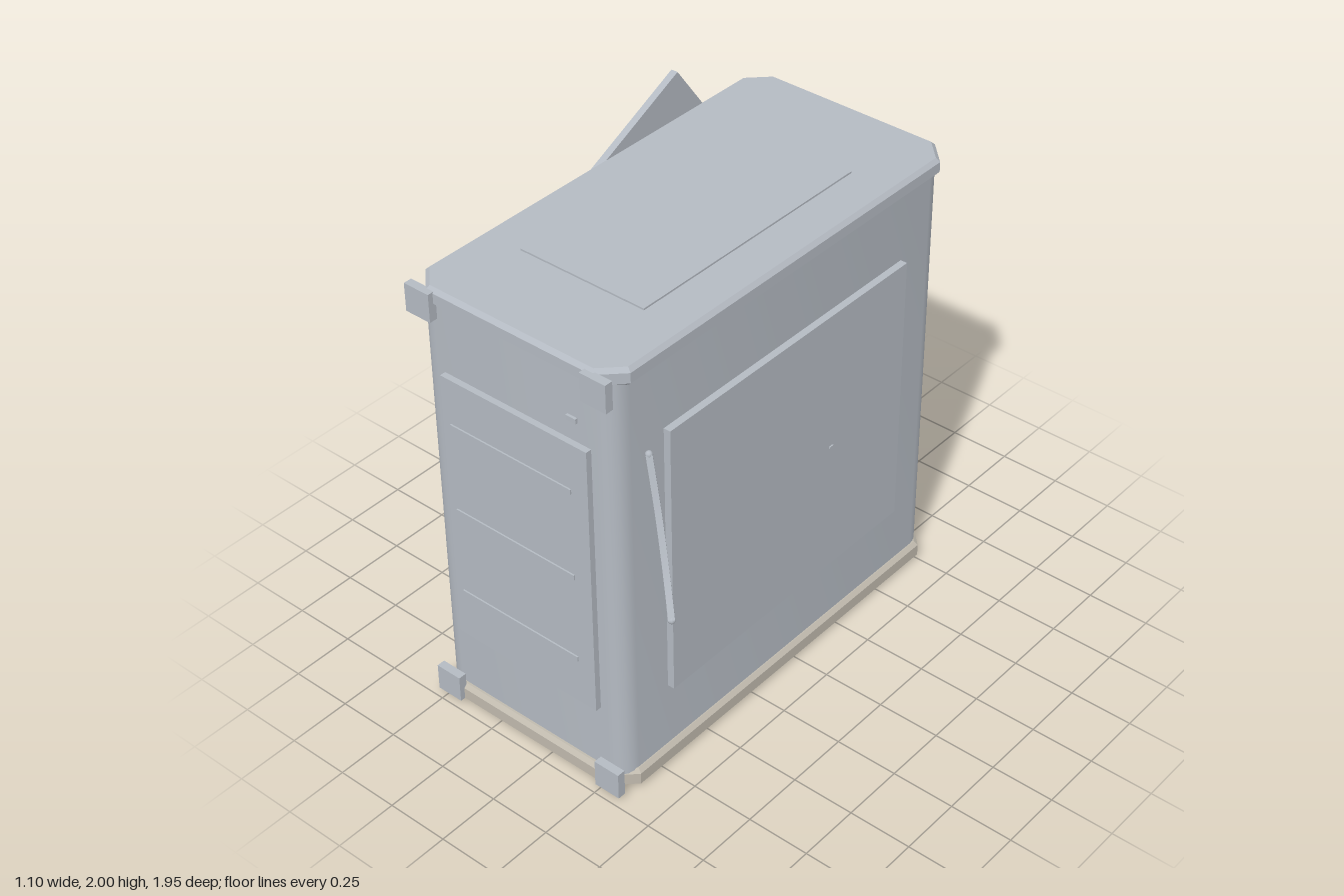
import * as THREE from 'three';
import { toCreasedNormals } from 'three/addons/utils/BufferGeometryUtils.js';

export function createModel() {
  const model = new THREE.Group();
  const grey = new THREE.MeshStandardMaterial({ color: 0xb4bac2 });
  grey.name = 'paintedMetal';
  const tan = new THREE.MeshStandardMaterial({ color: 0xc0baae });
  tan.name = 'beigePlastic';

  function add(name, geometry, material = grey) {
    const mesh = new THREE.Mesh(geometry, material);
    mesh.name = name;
    model.add(mesh);
    return mesh;
  }

  // Box given by its lower and upper limits on each axis
  function box(name, x0, x1, y0, y1, z0, z1, material) {
    add(name, new THREE.BoxGeometry(x1 - x0, y1 - y0, z1 - z0), material)
      .position.set((x0 + x1) / 2, (y0 + y1) / 2, (z0 + z1) / 2);
  }

  // Plan outline with cut or rounded corners; shape y becomes -z
  function outline(x0, x1, z0, z1, c, rounded) {
    const s = new THREE.Shape();
    const corners = [[x1, -z1, 1, 1, -90], [x1, -z0, 1, -1, 0],
      [x0, -z0, -1, -1, 90], [x0, -z1, -1, 1, 180]];
    const points = [];
    for (const [x, y, sx, sy, start] of corners) {
      const steps = rounded ? 5 : 1;
      for (let i = 0; i <= steps; i++) {
        const a = THREE.MathUtils.degToRad(start + 90 * i / steps);
        points.push(new THREE.Vector2(x - sx * c + c * Math.cos(a), y + sy * c + c * Math.sin(a)));
      }
    }
    return s.setFromPoints(points);
  }

  // Horizontal slab from y0 to y1, optionally bevelled inside its limits
  function slab(shape, y0, y1, bevel) {
    const g = new THREE.ExtrudeGeometry(shape, {
      depth: y1 - y0 - 2 * bevel, bevelEnabled: bevel > 0, bevelThickness: bevel,
      bevelSize: bevel, bevelOffset: -bevel, bevelSegments: 1,
    });
    g.rotateX(-Math.PI / 2);
    g.translate(0, y0 + bevel, 0);
    return g;
  }

  // Case body with rounded vertical corners
  add('caseBody', toCreasedNormals(slab(outline(-0.53, 0.337, -0.803, 0.933, 0.075, true), 0.05, 1.77, 0), 0.6));

  // Bottom and top caps with cut corners
  const cap = () => outline(-0.543, 0.356, -0.84, 0.957, 0.085, false);
  add('baseCap', slab(cap(), 0, 0.077, 0.015), tan);
  add('topCap', slab(cap(), 1.745, 1.815, 0.015));
  box('topPanel', -0.365, 0.177, 1.81, 1.822, -0.48, 0.605);

  // Front panel with three drive ridges and a power button
  box('frontPanel', -0.42, 0.233, 0.35, 1.475, 0.925, 0.957);
  for (const y of [0.55, 0.915, 1.28]) {
    box('driveRidge', -0.385, 0.16, y - 0.01, y + 0.01, 0.955, 0.963);
  }
  box('powerButton', 0.135, 0.178, 1.553, 1.573, 0.925, 0.943);

  // Square tabs on the four front corners
  for (const x of [-0.48, 0.29]) {
    for (const y of [0.07, 1.75]) {
      box('cornerTab', x - 0.055, x + 0.055, y - 0.055, y + 0.055, 0.945, 0.978);
    }
  }

  // Flat panel on one side with a small pin
  box('sidePanel', 0.33, 0.365, 0.35, 1.475, -0.573, 0.7);
  box('panelPin', 0.36, 0.37, 0.9, 0.908, -0.17, -0.15);

  // Loose panel on the other side, its rear corner swung out past the case
  const loose = new THREE.Shape([[-0.7, 0.35], [0.573, 0.35], [0.573, 0.94],
    [0.97, 1.19], [0.38, 2], [-0.68, 1.49], [-0.7, 1.475]].map(([a, b]) => new THREE.Vector2(a, b)));
  const looseGeometry = new THREE.ExtrudeGeometry(loose, { depth: 0.028, bevelEnabled: false });
  looseGeometry.rotateY(Math.PI / 2);
  add('loosePanel', looseGeometry).position.x = -0.555;

  // Curved four-sided handle with closed ends
  const path = new THREE.CatmullRomCurve3([[0.352, 1.43, 0.79], [0.41, 1.23, 0.815],
    [0.475, 1.04, 0.855], [0.535, 0.9, 0.9]].map((p) => new THREE.Vector3(...p)));
  add('handle', toCreasedNormals(new THREE.TubeGeometry(path, 12, 0.016, 4, false), 0.6));
  for (const t of [0, 1]) {
    const end = add('handleEnd', new THREE.SphereGeometry(0.014, 8, 6));
    end.position.copy(path.getPoint(t));
  }

  return model;
}
